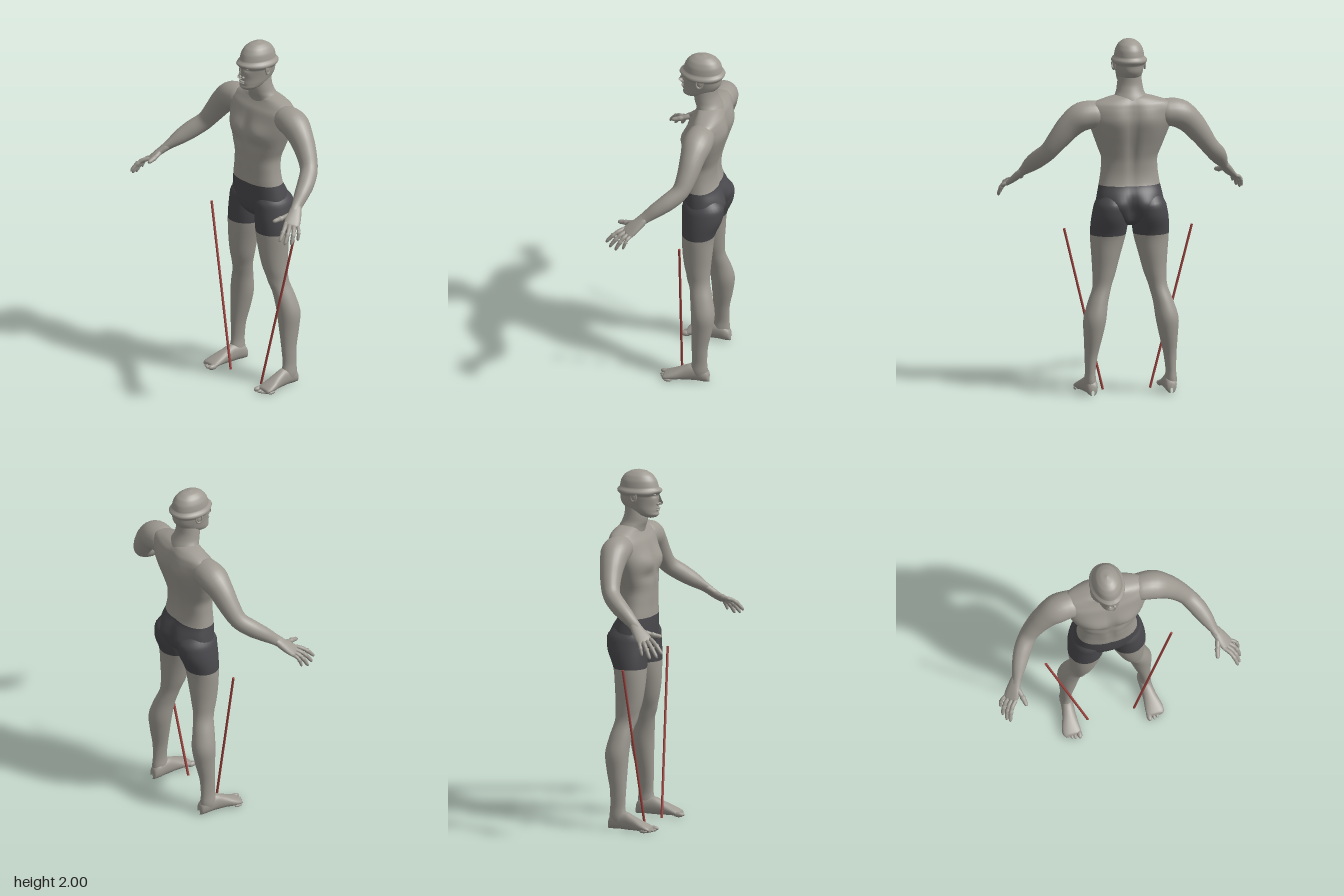
import * as THREE from 'three';

const V = (x, y, z) => new THREE.Vector3(x, y, z);
const UP = V(0, 1, 0), X = V(1, 0, 0);

// Skin a smooth tube over sections [x, y, z, radiusU, radiusV].
// t: fixed section normal, ref: direction of radiusU, p: squareness,
// split: key where the second material starts, warp: vertex rule
function loft(keys, { t, ref = X, n = 24, sub = 4, p = 2, split, warp } = {}) {
  const path = new THREE.CatmullRomCurve3(keys.map(k => V(k[0], k[1], k[2])));
  const size = new THREE.CatmullRomCurve3(keys.map(k => V(k[3], k[4], 0)));
  const rows = (keys.length - 1) * sub, pos = [], idx = [];
  const pw = c => Math.sign(c) * Math.abs(c) ** (2 / p);
  for (let i = 0; i <= rows; i++) {
    const f = i / rows, c = path.getPoint(f), r = size.getPoint(f);
    const tan = t || path.getTangent(f);
    const v = tan.clone().cross(ref).normalize(), u = v.clone().cross(tan);
    for (let j = 0; j < n; j++) {
      const a = j / n * Math.PI * 2;
      const q = c.clone().addScaledVector(u, Math.max(r.x, 0.0005) * pw(Math.cos(a)))
        .addScaledVector(v, Math.max(r.y, 0.0005) * pw(Math.sin(a)));
      if (warp) warp(q, Math.sin(a));
      pos.push(q.x, q.y, q.z);
      if (i === rows) continue;
      const A = i * n + j, B = i * n + (j + 1) % n;
      idx.push(A, B, A + n, B, B + n, A + n);
    }
  }
  const g = new THREE.BufferGeometry();
  g.setAttribute('position', new THREE.Float32BufferAttribute(pos, 3));
  g.setIndex(idx);
  g.computeVertexNormals();
  if (split) {
    const cut = split * sub * n * 6;
    g.addGroup(0, cut, 0);
    g.addGroup(cut, idx.length - cut, 1);
  }
  return g;
}

function mirror(geo) {
  const g = geo.clone().scale(-1, 1, 1), a = g.index.array;
  for (let i = 0; i < a.length; i += 3) [a[i], a[i + 1]] = [a[i + 1], a[i]];
  return g;
}

const ball = (x, y, z, a, b, c) =>
  new THREE.SphereGeometry(1, 16, 12).scale(a, b, c).translate(x, y, z);

// Soft hill centred at (cx, cy), mirrored in x
const hill = (q, cx, cy, sx, sy) =>
  Math.exp(-(((Math.abs(q.x) - cx) / sx) ** 2) - ((q.y - cy) / sy) ** 2);

export function createModel() {
  const model = new THREE.Group();
  model.name = 'standingMan';
  const material = (name, color) => {
    const m = new THREE.MeshStandardMaterial({ color });
    m.name = name;
    return m;
  };
  const skin = material('skin', 0x9e9a92);
  const cloth = material('shortsCloth', 0x4a494d);
  const red = material('redRod', 0xa04541);

  const add = (name, geo, mat = skin) => {
    const m = new THREE.Mesh(geo, mat);
    m.name = name;
    model.add(m);
  };
  const pair = (name, geo, mat) => {
    add('left' + name, geo, mat);
    add('right' + name, mirror(geo), mat);
  };

  // Torso and upper shorts: [y, half width, front z, back z]
  const torso = [
    [0.955, 0.03, -0.1, -0.18], [0.98, 0.09, -0.06, -0.215], [1.02, 0.17, -0.03, -0.235],
    [1.08, 0.19, -0.02, -0.245], [1.13, 0.182, -0.018, -0.235], [1.18, 0.171, -0.018, -0.213],
    [1.25, 0.16, -0.02, -0.203], [1.32, 0.156, -0.02, -0.208], [1.4, 0.182, -0.015, -0.228],
    [1.48, 0.212, -0.015, -0.25], [1.55, 0.235, -0.035, -0.26], [1.61, 0.245, -0.058, -0.252],
    [1.65, 0.215, -0.085, -0.242], [1.68, 0.13, -0.1, -0.22], [1.7, 0.04, -0.13, -0.18],
  ].map(([y, w, f, b]) => [0, y, (f + b) / 2, w, (f - b) / 2]);
  add('torso', loft(torso, {
    t: UP, n: 64, p: 2.3, split: 5,
    warp(q, s) {
      if (s < 0) {
        // Chest, breastbone and belly lines
        q.z -= s * (0.018 * hill(q, 0.095, 1.495, 0.07, 0.05) - 0.01 * hill(q, 0, 1.5, 0.02, 0.07)
          - 0.01 * hill(q, 0.09, 1.415, 0.07, 0.025) - 0.006 * hill(q, 0, 1.3, 0.015, 0.1)
          + 0.005 * hill(q, 0.04, 1.32, 0.03, 0.08));
      } else {
        // Shoulder blades, spine and buttocks
        q.z -= s * (0.014 * hill(q, 0.085, 1.57, 0.06, 0.08) - 0.018 * hill(q, 0, 1.42, 0.025, 0.2)
          + 0.02 * hill(q, 0.085, 1.07, 0.06, 0.06) - 0.028 * hill(q, 0, 1.04, 0.02, 0.07));
      }
    },
  }), [cloth, skin]);

  // Neck
  add('neck', loft([
    [0, 1.63, -0.165, 0.13, 0.075], [0, 1.675, -0.152, 0.095, 0.073], [0, 1.71, -0.137, 0.077, 0.071],
    [0, 1.75, -0.128, 0.07, 0.066], [0, 1.81, -0.13, 0.062, 0.062],
  ], { t: UP, n: 32 }));

  // Head with narrowed face, eye sockets, brow and cheeks
  add('head', loft([
    [0, 1.728, -0.045, 0.004, 0.004], [0, 1.737, -0.045, 0.036, 0.036], [0, 1.752, -0.06, 0.056, 0.064],
    [0, 1.78, -0.09, 0.068, 0.092], [0, 1.82, -0.107, 0.076, 0.107], [0, 1.86, -0.108, 0.083, 0.111],
    [0, 1.9, -0.11, 0.083, 0.111], [0, 1.94, -0.112, 0.076, 0.101], [0, 1.97, -0.113, 0.06, 0.08],
    [0, 1.99, -0.113, 0.035, 0.047], [0, 2, -0.113, 0.001, 0.001],
  ], {
    t: UP, n: 56, sub: 5, p: 2.15,
    warp(q, s) {
      const front = Math.max(0, (q.z + 0.11) / 0.11);
      q.x *= 1 - 0.12 * front * front;
      if (s < 0) {
        q.z -= s * (0.006 * hill(q, 0.028, 1.886, 0.03, 0.01) - 0.014 * hill(q, 0.032, 1.865, 0.018, 0.012)
          + 0.004 * hill(q, 0.045, 1.83, 0.02, 0.02) - 0.006 * hill(q, 0, 1.763, 0.03, 0.007));
      }
    },
  }));
  add('nose', loft([
    [0, 1.878, -0.006, 0.006, 0.006], [0, 1.855, 0.001, 0.009, 0.01], [0, 1.83, 0.007, 0.012, 0.015],
    [0, 1.815, 0.009, 0.017, 0.02], [0, 1.805, 0.004, 0.013, 0.014], [0, 1.801, 0, 0.001, 0.001],
  ], { t: UP, n: 20 }));
  add('upperLip', ball(0, 1.787, -0.001, 0.022, 0.005, 0.013));
  add('lowerLip', ball(0, 1.777, -0.002, 0.019, 0.006, 0.013));
  pair('Eye', ball(0.031, 1.866, -0.014, 0.013, 0.008, 0.011));
  pair('Nostril', ball(0.013, 1.811, 0.001, 0.008, 0.007, 0.01));
  pair('Ear', ball(0.083, 1.857, -0.113, 0.008, 0.026, 0.016));
  pair('EarRim', new THREE.TorusGeometry(0.018, 0.005, 8, 20).scale(1, 1.55, 1)
    .rotateY(Math.PI / 2 + 0.3).translate(0.088, 1.857, -0.114));

  // Arm from inside the chest to the wrist
  pair('Arm', loft([
    [0.11, 1.59, -0.155, 0.03, 0.03], [0.19, 1.585, -0.155, 0.078, 0.075], [0.27, 1.575, -0.152, 0.083, 0.08],
    [0.335, 1.528, -0.145, 0.07, 0.072], [0.4, 1.45, -0.133, 0.058, 0.06], [0.455, 1.375, -0.108, 0.049, 0.05],
    [0.5, 1.325, -0.052, 0.048, 0.05], [0.535, 1.28, 0.01, 0.041, 0.042], [0.565, 1.236, 0.068, 0.031, 0.024],
    [0.58, 1.216, 0.092, 0.03, 0.02],
  ], { ref: V(-0.2, 0.3, 0.9) }));

  // Hand
  const across = V(-0.645, 0.25, 0.637).normalize();
  pair('Palm', loft([
    [0.557, 1.247, 0.055, 0.02, 0.015], [0.57, 1.23, 0.075, 0.031, 0.021], [0.588, 1.206, 0.1, 0.037, 0.021],
    [0.607, 1.18, 0.13, 0.044, 0.018], [0.624, 1.159, 0.154, 0.043, 0.013], [0.629, 1.153, 0.161, 0.02, 0.003],
  ], { ref: across, p: 2.3 }));
  const finger = (name, a, b, r, bend) => {
    const at = (f, s) => {
      const q = a.clone().lerp(b, f);
      return [q.x + bend * f * (1 - f) * 2, q.y + bend * f * (1 - f) * 3, q.z, r * s, r * s];
    };
    pair(name, loft([at(0, 1), at(0.3, 1.08), at(0.45, 1), at(0.65, 1), at(0.9, 0.85), at(0.98, 0.5), at(1, 0.02)],
      { ref: across, n: 12, sub: 3 }));
  };
  const tips = [V(0.652, 1.1, 0.264), V(0.667, 1.08, 0.24), V(0.68, 1.074, 0.203), V(0.683, 1.09, 0.158)];
  ['IndexFinger', 'MiddleFinger', 'RingFinger', 'LittleFinger'].forEach((name, i) => {
    const base = V(0.621, 1.163, 0.15).addScaledVector(across, 0.033 - i * 0.022);
    finger(name, base, tips[i], i === 3 ? 0.0095 : 0.0115, 0.02);
  });
  finger('Thumb', V(0.58, 1.21, 0.105), V(0.547, 1.178, 0.225), 0.0135, -0.005);

  // Leg; the part above the hem is shorts: [y, x, z, half width, half depth]
  const leg = [
    [0.03, 0.226, -0.15, 0.03, 0.045], [0.07, 0.227, -0.152, 0.034, 0.05], [0.13, 0.227, -0.155, 0.029, 0.043],
    [0.22, 0.222, -0.155, 0.036, 0.046], [0.33, 0.212, -0.164, 0.052, 0.059], [0.43, 0.203, -0.167, 0.064, 0.067],
    [0.52, 0.184, -0.153, 0.057, 0.063], [0.6, 0.159, -0.137, 0.052, 0.058], [0.68, 0.144, -0.122, 0.064, 0.072],
    [0.78, 0.133, -0.117, 0.08, 0.084], [0.9, 0.121, -0.12, 0.1, 0.093], [1.0, 0.113, -0.138, 0.102, 0.114],
    [1.07, 0.106, -0.141, 0.096, 0.117], [1.13, 0.1, -0.135, 0.07, 0.08],
  ].map(([y, x, z, a, b]) => [x, y, z, a, b]);
  pair('Leg', loft(leg, {
    t: UP, n: 32, split: 10,
    warp(q, s) {
      if (s < 0) q.z -= s * 0.012 * hill(q, 0.155, 0.61, 0.03, 0.035); // kneecap
    },
  }), [skin, cloth]);

  // Foot along z: [z, x, half width, height]
  const foot = [
    [-0.212, 0.222, 0.008, 0.03], [-0.203, 0.222, 0.026, 0.065], [-0.17, 0.223, 0.035, 0.095],
    [-0.11, 0.226, 0.035, 0.1], [-0.06, 0.231, 0.039, 0.08], [-0.01, 0.237, 0.048, 0.055],
    [0.025, 0.238, 0.051, 0.038], [0.045, 0.237, 0.046, 0.026], [0.05, 0.237, 0.03, 0.012],
  ].map(([z, x, w, h]) => [x, h / 2 + 0.003, z, w, h / 2]);
  pair('Foot', loft(foot, {
    t: V(0, 0, 1), p: 2.2,
    warp(q) { q.y = Math.max(q.y, 0.004); },
  }));
  for (let i = 0; i < 5; i++) {
    const r = i ? 0.0105 - i * 0.0004 : 0.015;
    const x = i ? 0.207 + i * 0.0185 : 0.2;
    pair('Toe' + (i + 1), ball(x, r, 0.046 - i * i * 0.0019, r, r, 0.03 - i * 0.0015));
  }

  // Slanted rods beside the legs
  const top = V(0.36, 0.93, -0.076), foot0 = V(0.133, 0.004, -0.028);
  const along = top.clone().sub(foot0);
  const rod = new THREE.CylinderGeometry(0.007, 0.007, along.length(), 12);
  rod.applyQuaternion(new THREE.Quaternion().setFromUnitVectors(UP, along.clone().normalize()));
  const mid = top.clone().add(foot0).multiplyScalar(0.5);
  pair('Rod', rod.translate(mid.x, mid.y, mid.z), red);

  return model;
}
